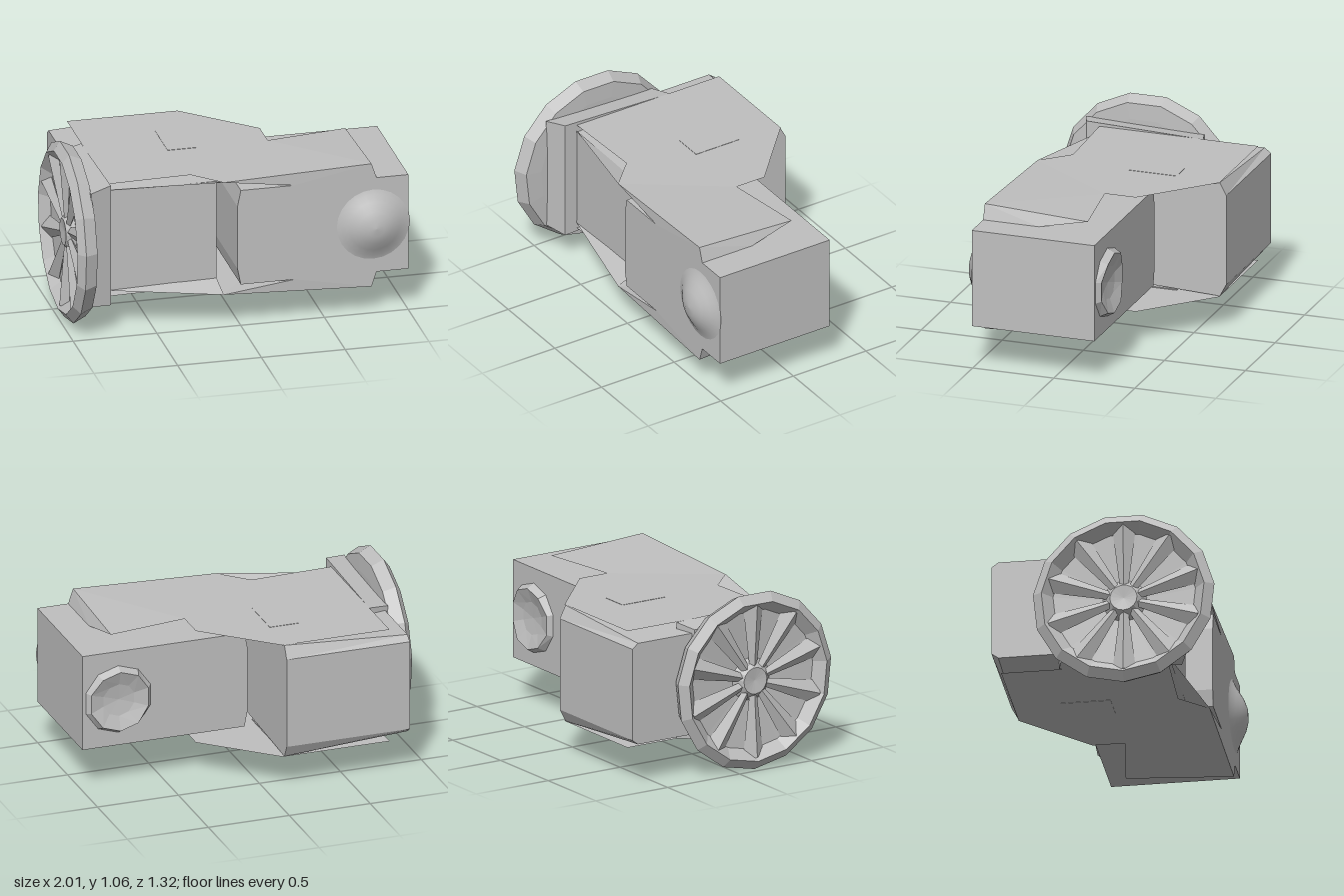
import * as THREE from 'three';

const MID = 0.555; // height of the mirror plane between upper and lower plates

// Moves every vertex of a geometry by a rule
function reshape(geometry, rule) {
  const p = geometry.attributes.position;
  const v = new THREE.Vector3();
  for (let i = 0; i < p.count; i++) {
    rule(v.fromBufferAttribute(p, i));
    p.setXYZ(i, v.x, v.y, v.z);
  }
  return geometry;
}

// Gives every face its own flat normal
function faceted(geometry) {
  const flat = geometry.index ? geometry.toNonIndexed() : geometry;
  flat.computeVertexNormals();
  return flat;
}

export function createModel() {
  const group = new THREE.Group();
  const grey = new THREE.MeshStandardMaterial({ color: 0xbfbfbf, side: THREE.DoubleSide });
  grey.name = 'grey';

  const add = (name, geometry, x = 0, y = 0, z = 0) => {
    const mesh = new THREE.Mesh(geometry, grey);
    mesh.name = name;
    mesh.position.set(x, y, z);
    group.add(mesh);
  };
  const extrude = (points, depth) => new THREE.ExtrudeGeometry(
    new THREE.Shape(points.map(([a, b]) => new THREE.Vector2(a, b))), { depth, bevelEnabled: false });
  const lathe = (points, sides) => new THREE.LatheGeometry(
    points.map(([r, h]) => new THREE.Vector2(r, h)), sides);

  // Rear body: section across z and y, run along x, lower at the flange end
  const section = [[0.66, 0.28], [0.62, 0.205], [-0.36, 0.25], [-0.36, 0.86], [0.62, 0.905], [0.66, 0.83]];
  const body = reshape(extrude(section, 0.76).rotateY(Math.PI / 2), (v) => {
    if (v.x < 0.1) v.y = MID + THREE.MathUtils.clamp(v.y - MID, -0.305, 0.305);
  });
  add('body', faceted(body), -0.87);

  // Arm with a slightly bowed inner end
  add('arm', new THREE.BoxGeometry(1.0, 0.59, 0.755), 0.5, MID, 0.1275);
  add('armInnerEnd', extrude([[0, 0.26], [0, 0.85], [-0.02, 0.75], [-0.02, 0.36]], 0.755), 0, 0, -0.25);

  // Bridge plates joining body and arm, mirrored above and below
  const P = {
    A: [-0.76, 0.907, -0.62], B: [-0.1, 0.907, -0.62], C: [0.3, 0.907, -0.25],
    D: [0.3, 0.907, -0.06], E: [0.78, 0.907, -0.13], F: [0.78, 0.94, 0.505],
    G: [-0.1, 0.907, 0.5], H: [-0.26, 0.907, 0.34], I: [-0.76, 0.907, 0.36],
    K: [0.32, 0.85, 0.505], L: [0.81, 0.85, 0.505], Q: [0.81, 0.85, 0.16],
    M: [-0.11, 0.855, 0.355], N: [-0.76, 0.855, 0.362], R: [-0.76, 0.87, 0.362],
  };
  const triangles = ('AIH AHB BHG BGD BDC GFD FED ' + // outer face
    'GKF KLF FLQ FQE ' + // front skirt and end
    'GDK KDE KEQ ' + // underside over the arm
    'GRM RNM').split(' '); // wedge along the body
  for (const side of [1, -1]) {
    const corners = triangles.flatMap((t) => side > 0 ? [...t] : [...t].reverse());
    const positions = corners.flatMap((k) => {
      const [x, y, z] = P[k];
      return [x, MID + side * (y - MID), z];
    });
    const geometry = new THREE.BufferGeometry();
    geometry.setAttribute('position', new THREE.Float32BufferAttribute(positions, 3));
    const prefix = side > 0 ? 'upper' : 'lower';
    add(prefix + 'Plate', faceted(geometry));

    // Small square cover set into the plate
    add(prefix + 'Cover', new THREE.BoxGeometry(0.18, 0.008, 0.3), -0.21, MID + side * 0.35, -0.2);
  }

  // Collar between body and flange, thinning towards the flange and the back
  const collarOutline = [[-0.89, -0.49], [-0.76, -0.44], [-0.76, 0.28], [-0.89, 0.24]];
  const collar = reshape(extrude(collarOutline, 0.75).rotateX(-Math.PI / 2), (v) => {
    const half = 0.375 - (v.x < -0.8 ? 0.02 : 0) - (v.z < 0 ? 0.025 : 0);
    v.y = v.y > 0.3 ? half : -half;
  });
  add('collar', faceted(collar), 0, MID, 0);

  // Faceted flange, dished on its outer face
  const flange = lathe([[0, 0], [0.4, 0], [0.5, 0.005], [0.535, 0.08], [0.48, 0.12],
    [0.42, 0.06], [0.13, 0.04], [0.08, 0.09], [0, 0.08]], 15).rotateY(-Math.PI / 2).rotateZ(Math.PI / 2);
  add('flange', faceted(flange), -0.88, 0.537, 0.13);

  // Spokes widening towards the rim
  const spokes = new THREE.Group();
  spokes.name = 'spokes';
  spokes.position.set(-0.945, 0.537, 0.13);
  const spokeShape = faceted(new THREE.CylinderGeometry(0.07, 0.025, 0.38, 4).translate(0, 0.27, 0));
  for (let i = 0; i < 10; i++) {
    const spoke = new THREE.Mesh(spokeShape, grey);
    spoke.name = 'spoke';
    spoke.scale.x = 0.65;
    spoke.rotation.x = (i / 10) * Math.PI * 2;
    spokes.add(spoke);
  }
  group.add(spokes);

  // Smooth swelling on the front of the arm
  add('frontSwelling', lathe([[0.22, 0], [0.19, 0.01], [0.15, 0.032], [0.1, 0.06], [0.05, 0.077], [0, 0.082]], 24)
    .rotateX(Math.PI / 2), 0.79, 0.56, 0.504);

  // Dished boss on the back of the arm, lower across its middle
  const backBoss = reshape(lathe([[0.21, 0], [0.185, 0.045], [0.1, 0.02], [0, 0.012]], 10)
    .rotateX(-Math.PI / 2), (v) => { v.z *= 0.35 + 0.65 * Math.min(1, Math.abs(v.y) / 0.13); });
  add('backBoss', faceted(backBoss), 0.78, 0.55, -0.25);

  return group;
}
